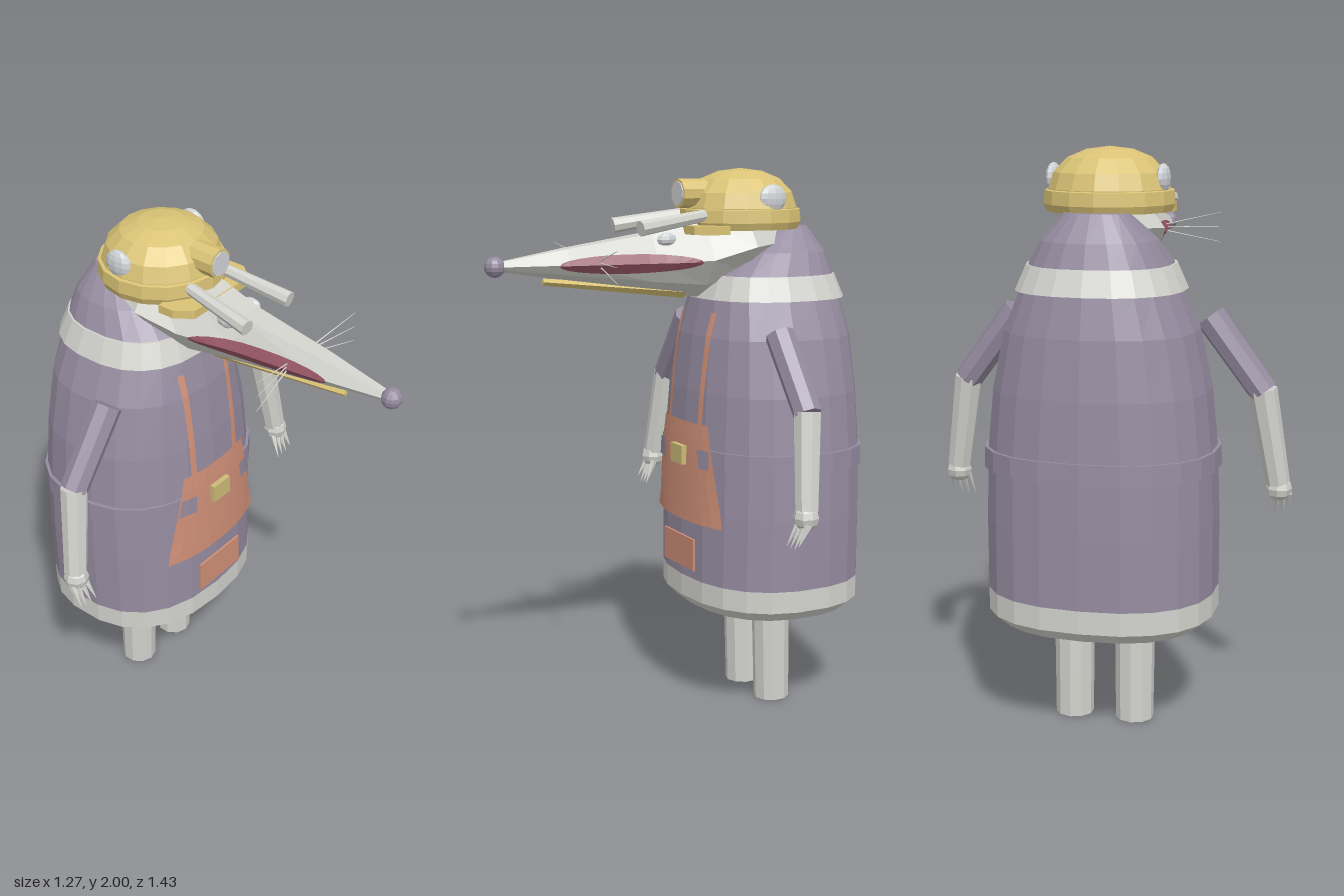
import * as THREE from 'three';

const mat = (name, color) => Object.assign(new THREE.MeshStandardMaterial({ color }), { name });
const M = {
  cloth: mat('purple cloth', 0x968ca0),
  fur: mat('pale grey fur', 0xd2d2cd),
  helmet: mat('yellow helmet', 0xdac376),
  apron: mat('orange apron', 0xd09078),
  mouth: mat('dark red mouth', 0x955563),
  buckle: mat('buckle brass', 0xcbbb78),
  glass: mat('lamp glass', 0xd0d3d6),
};
for (const k of ['apron', 'mouth', 'cloth']) M[k].side = THREE.DoubleSide;

// Faceted mesh from any geometry
function part(parent, name, geo, material) {
  const g = geo.index ? geo.toNonIndexed() : geo;
  g.computeVertexNormals();
  const mesh = new THREE.Mesh(g, material);
  mesh.name = name;
  parent.add(mesh);
  return mesh;
}

// Surface through rings of points, optionally closed round and capped
function loft(rings, { closed = true, caps = [true, true] } = {}) {
  const n = rings[0].length, pos = [], idx = [];
  rings.flat().forEach(p => pos.push(...p));
  for (let i = 0; i < rings.length - 1; i++) {
    for (let j = 0; j < (closed ? n : n - 1); j++) {
      const a = i * n + j, b = i * n + (j + 1) % n;
      idx.push(a, a + n, b, b, a + n, b + n);
    }
  }
  [0, rings.length - 1].forEach((r, end) => {
    if (!closed || !caps[end]) return;
    const c = pos.length / 3;
    pos.push(...[0, 1, 2].map(k => rings[r].reduce((s, p) => s + p[k], 0) / n));
    for (let j = 0; j < n; j++) {
      const a = r * n + j, b = r * n + (j + 1) % n;
      end ? idx.push(c, b, a) : idx.push(c, a, b);
    }
  });
  const g = new THREE.BufferGeometry();
  g.setAttribute('position', new THREE.Float32BufferAttribute(pos, 3));
  g.setIndex(idx);
  return g;
}

// Tapered rod between two points
function rod(parent, name, a, b, r1, r2, seg, material) {
  const A = new THREE.Vector3(...a), B = new THREE.Vector3(...b), d = B.clone().sub(A);
  const mesh = part(parent, name, new THREE.CylinderGeometry(r2, r1, d.length(), seg), material);
  mesh.position.copy(A).add(B).multiplyScalar(0.5);
  mesh.quaternion.setFromUnitVectors(new THREE.Vector3(0, 1, 0), d.normalize());
  return mesh;
}

// Interpolates rows [key, ...values]; keys ascend
function sample(rows, k) {
  let i = 0;
  while (i < rows.length - 2 && k > rows[i + 1][0]) i++;
  const t = (k - rows[i][0]) / (rows[i + 1][0] - rows[i][0]);
  return rows[i].map((v, c) => v + (rows[i + 1][c] - v) * t);
}

// Robe cross-sections: y, half width, centre z, half depth
const POWER = 2.4;
const ROBE = [[0.5, 0.4, -0.377, 0.335], [0.75, 0.4, -0.378, 0.333], [1.0, 0.392, -0.379, 0.328],
  [1.2, 0.372, -0.38, 0.316], [1.4, 0.33, -0.382, 0.295], [1.54, 0.27, -0.385, 0.265]];
function ring([y, rx, zc, rz], n = 22) {
  return Array.from({ length: n }, (_, j) => {
    const t = (j + 0.5) / n * Math.PI * 2, c = Math.cos(t), s = Math.sin(t);
    const f = v => Math.sign(v) * Math.abs(v) ** (2 / POWER);
    return [rx * f(c), y, zc + rz * f(s)];
  });
}
const robePart = (rows, caps) => loft(rows.map(r => ring(r)), { caps });
function robeFront(x, y) {
  const [, rx, zc, rz] = sample(ROBE, y);
  return zc + rz * (1 - Math.min(1, Math.abs(x) / rx) ** POWER) ** (1 / POWER);
}
// Sheet lying on the front of the robe; edges are functions of y
function frontSheet(x0, x1, y0, y1, off, minZ = -9, cols = 10, rows = 6) {
  const grid = [];
  for (let i = 0; i <= rows; i++) {
    const y = y0 + (y1 - y0) * i / rows;
    grid.push(Array.from({ length: cols + 1 }, (_, j) => {
      const x = x1(y) + (x0(y) - x1(y)) * j / cols;
      return [x, y, Math.max(robeFront(x, y) + off, minZ)];
    }));
  }
  return loft(grid, { closed: false });
}

// Head cross-sections: z, top y, bottom y, half width
const HEAD = [[-0.45, 1.8, 1.68, 0.09], [-0.25, 1.87, 1.58, 0.185], [-0.1, 1.82, 1.54, 0.145],
  [0.1, 1.775, 1.57, 0.098], [0.42, 1.73, 1.622, 0.062], [0.67, 1.69, 1.66, 0.018]];
function headRing([z, top, bot, w]) {
  const mid = (top + bot) / 2, low = mid - 0.65 * (mid - bot);
  return [[w, mid, z], [0.55 * w, low, z], [0, bot, z], [-0.55 * w, low, z],
    [-w, mid, z], [-0.45 * w, top, z], [0.45 * w, top, z]];
}
function headSide(z, y) {
  const [, top, bot, w] = sample(HEAD, z), mid = (top + bot) / 2;
  return y > mid ? w * (1 - 0.55 * (y - mid) / (top - mid))
    : w * (1 - 0.45 * (mid - y) / (0.65 * (mid - bot)));
}

export function createModel() {
  const model = new THREE.Group();
  model.name = 'robedMole';

  // Robe
  const robe = new THREE.Group();
  robe.name = 'robe';
  model.add(robe);
  part(robe, 'hem', robePart([[0.38, 0.355, -0.377, 0.295], [0.42, 0.4, -0.377, 0.335], ROBE[0]], [true, false]), M.fur);
  part(robe, 'gown', robePart(ROBE, [false, false]), M.cloth);
  part(robe, 'collar', robePart([[1.535, 0.288, -0.385, 0.278], [1.62, 0.25, -0.385, 0.246]], [true, true]), M.fur);
  part(robe, 'shoulders', robePart([[1.62, 0.242, -0.387, 0.24], [1.7, 0.195, -0.42, 0.18],
    [1.79, 0.11, -0.46, 0.08]], [false, true]), M.cloth);
  part(robe, 'belt', robePart([[0.93, 0.406, -0.379, 0.338], [1.0, 0.404, -0.379, 0.336]], [true, true]), M.cloth);

  // Apron with straps, pocket and buckle
  const half = y => 0.165 + (1.09 - y) / 0.37 * 0.085;
  part(robe, 'apronSkirt', frontSheet(y => -half(y), half, 0.72, 1.09, 0.014, -0.075), M.apron);
  for (const s of [-1, 1]) {
    part(robe, 'apronStrap', frontSheet(() => s * 0.115 - 0.013, () => s * 0.115 + 0.013, 1.08, 1.49, 0.01, -9, 2, 10), M.apron);
    part(robe, 'beltLoop', frontSheet(y => s * 0.155 - 0.032 + s * (1 - y) * 0.2, y => s * 0.155 + 0.032,
      0.93, 1.0, 0.022, -0.068, 2, 1), M.cloth);
  }
  part(robe, 'pocket', new THREE.BoxGeometry(0.23, 0.12, 0.008), M.apron).position.set(0, 0.6, -0.033);
  part(robe, 'buckle', new THREE.BoxGeometry(0.09, 0.07, 0.03), M.buckle).position.set(0, 0.965, -0.033);

  // Head and snout
  const head = new THREE.Group();
  head.name = 'head';
  model.add(head);
  part(head, 'snout', loft(HEAD.map(headRing)), M.fur);
  part(head, 'nose', new THREE.SphereGeometry(0.036, 10, 8), M.cloth).position.set(0, 1.675, 0.675);
  const jaw = rod(head, 'lowerTeeth', [0, 1.56, -0.05], [0, 1.618, 0.5], 0.022, 0.012, 4, M.helmet);
  jaw.scale.x = 0.9;

  // Helmet with brim, peak and lamp
  const helmet = new THREE.Group();
  helmet.name = 'helmet';
  helmet.position.z = -0.28;
  model.add(helmet);
  const lathe = pts => new THREE.LatheGeometry(pts.map(p => new THREE.Vector2(...p)), 16);
  part(helmet, 'dome', lathe([[0, 1.81], [0.205, 1.81], [0.21, 1.86], [0.192, 1.915], [0.145, 1.963], [0.08, 1.99], [0, 2]]), M.helmet);
  part(helmet, 'brim', lathe([[0.19, 1.785], [0.215, 1.785], [0.226, 1.81], [0.222, 1.855], [0.2, 1.86]]), M.helmet);
  const peak = new THREE.Shape([[-0.19, -0.12], [0.19, -0.12], [0.19, -0.06], [0.145, 0], [-0.145, 0], [-0.19, -0.06]]
    .map(([x, z]) => new THREE.Vector2(x, -z)));
  const peakMesh = part(helmet, 'peak', new THREE.ExtrudeGeometry(peak, { depth: 0.03, bevelEnabled: false }), M.helmet);
  peakMesh.rotation.x = -Math.PI / 2;
  peakMesh.position.set(0, 1.772, 0.265);
  rod(helmet, 'lampHousing', [0, 1.912, 0.15], [0, 1.912, 0.255], 0.052, 0.052, 10, M.helmet);
  rod(helmet, 'lampLens', [0, 1.912, 0.252], [0, 1.912, 0.259], 0.044, 0.044, 10, M.glass);

  for (const s of [-1, 1]) {
    const side = new THREE.Group();
    side.name = s > 0 ? 'leftSide' : 'rightSide';
    model.add(side);

    // Mouth patch, eye, brow tube, ear and whiskers
    const lips = [];
    for (let i = 0; i <= 12; i++) {
      const u = -Math.cos(i / 12 * Math.PI), z = 0.2 + 0.26 * u, h = 0.034 * Math.sqrt(Math.max(0, 1 - u * u));
      lips.push([-1, 0, 1].map(k => {
        const y = 1.674 + k * h;
        return [s * (headSide(z, y) + 0.005), y, z];
      }));
    }
    part(side, 'mouth', loft(lips, { closed: false }), M.mouth);
    const eye = part(side, 'eye', new THREE.SphereGeometry(0.03, 8, 6), M.glass);
    eye.position.set(s * 0.068, 1.755, 0.055);
    eye.scale.set(0.7, 0.8, 1.3);
    rod(side, 'browTube', [s * 0.085, 1.838, -0.1], [s * 0.115, 1.798, 0.18], 0.021, 0.028, 8, M.fur);
    const ear = part(side, 'ear', new THREE.SphereGeometry(0.053, 10, 8), M.glass);
    ear.position.set(s * 0.19, 1.895, -0.305);
    ear.scale.set(0.45, 0.95, 1.05);
    for (const [y0, y1] of [[1.69, 1.735], [1.68, 1.68], [1.665, 1.625]]) {
      rod(side, 'whisker', [s * 0.07, y0, 0.31], [s * 0.27, y1, 0.342], 0.003, 0.001, 4, M.fur);
    }

    // Arm, hand and claws
    rod(side, 'sleeve', [s * 0.343, 1.43, -0.25], [s * 0.533, 1.175, -0.25], 0.054, 0.05, 8, M.cloth);
    rod(side, 'forearm', [s * 0.53, 1.185, -0.25], [s * 0.585, 0.85, -0.22], 0.05, 0.042, 8, M.fur);
    const hand = part(side, 'hand', new THREE.SphereGeometry(0.046, 8, 6), M.fur);
    hand.position.set(s * 0.588, 0.83, -0.215);
    for (let i = 0; i < 4; i++) {
      const x = 0.56 + i * 0.02;
      rod(side, 'claw', [s * x, 0.81, -0.205], [s * (x - 0.005 + (i - 1.5) * 0.006), 0.725 + (i === 3 ? 0.015 : 0), -0.165],
        0.014, 0.001, 5, M.fur);
    }

    // Leg
    rod(side, 'leg', [s * 0.11, 0, -0.375], [s * 0.11, 0.45, -0.365], 0.067, 0.072, 10, M.fur);
  }
  return model;
}
